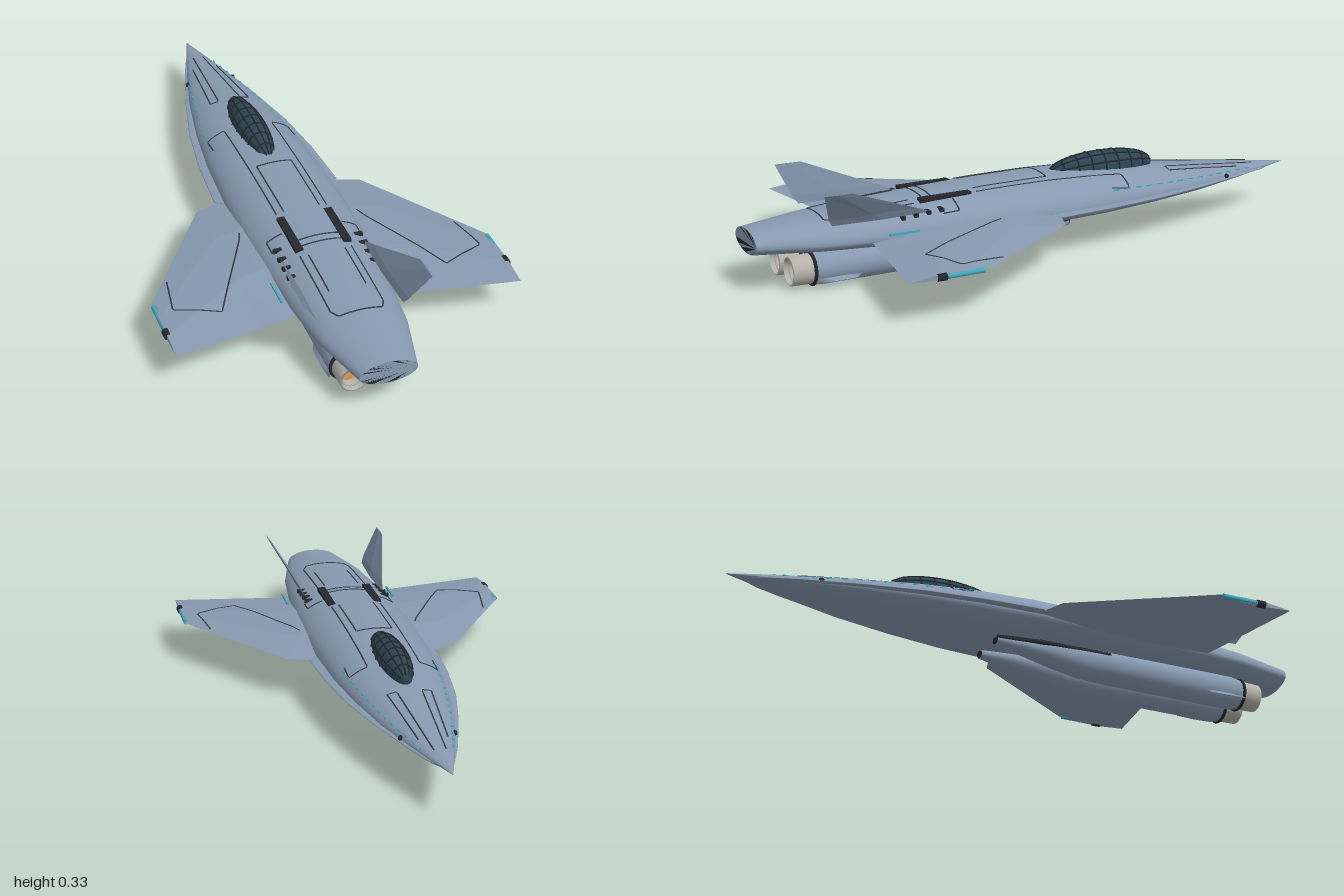
import * as THREE from 'three';

const V = (x, y, z) => new THREE.Vector3(x, y, z);
const mat = (color, extra = {}) => new THREE.MeshStandardMaterial({ color, ...extra });
const lerp = THREE.MathUtils.lerp;

// Interpolate a table of rows [z, a, b, c...] at z
function sample(rows, z) {
  let i = 0;
  while (i < rows.length - 2 && z > rows[i + 1][0]) i++;
  const t = THREE.MathUtils.clamp((z - rows[i][0]) / (rows[i + 1][0] - rows[i][0]), 0, 1);
  return rows[i].map((v, k) => lerp(v, rows[i + 1][k], t));
}

// Skin a row of closed rings (anticlockwise seen from the last ring), with end caps
function loft(rings) {
  const n = rings[0].length, pos = [], idx = [];
  rings.forEach(r => r.forEach(p => pos.push(p.x, p.y, p.z)));
  for (let i = 0; i < rings.length - 1; i++) for (let j = 0; j < n; j++) {
    const a = i * n + j, b = i * n + (j + 1) % n;
    idx.push(a, b, a + n, b, b + n, a + n);
  }
  const cap = (ring, flip) => {
    const o = pos.length / 3;
    ring.forEach(p => pos.push(p.x, p.y, p.z));
    for (let j = 1; j < n - 1; j++) idx.push(o, o + (flip ? j + 1 : j), o + (flip ? j : j + 1));
  };
  cap(rings[0], true);
  cap(rings[rings.length - 1], false);
  const g = new THREE.BufferGeometry();
  g.setAttribute('position', new THREE.Float32BufferAttribute(pos, 3));
  g.setIndex(idx);
  g.computeVertexNormals();
  return g;
}

// Cross-section with separate heights above and below its widest line
const oval = (z, cx, cy, w, up, down, n = 40) => Array.from({ length: n }, (_, i) => {
  const a = i / n * Math.PI * 2, s = Math.sin(a);
  return V(cx + w * Math.cos(a), cy + s * (s > 0 ? up : down), z);
});

function mirrored(geo) {
  const g = geo.clone();
  g.scale(-1, 1, 1);
  const ix = g.index.array;
  for (let i = 0; i < ix.length; i += 3) [ix[i], ix[i + 1]] = [ix[i + 1], ix[i]];
  g.computeVertexNormals();
  return g;
}

// z, half width, top, bottom, height of widest line
const BODY = [
  [-1, 0.001, 0.149, 0.147, 0.148], [-0.9, 0.032, 0.162, 0.136, 0.147], [-0.8, 0.062, 0.173, 0.124, 0.145],
  [-0.6, 0.115, 0.196, 0.106, 0.143], [-0.4, 0.152, 0.219, 0.096, 0.141], [-0.2, 0.176, 0.236, 0.088, 0.14],
  [0, 0.186, 0.244, 0.085, 0.14], [0.2, 0.19, 0.243, 0.086, 0.14], [0.4, 0.183, 0.237, 0.09, 0.141],
  [0.6, 0.166, 0.228, 0.096, 0.143], [0.8, 0.143, 0.214, 0.105, 0.147], [1, 0.092, 0.195, 0.116, 0.154]];

function bodyTop(x, z) {
  const [, w, top, , c] = sample(BODY, z);
  return c + (top - c) * Math.sqrt(Math.max(0, 1 - (x / w) ** 2));
}

// x, leading edge z, trailing edge z, top y, bottom y
const WING = [[0.14, -0.02, 0.64, 0.168, 0.122], [0.2, 0, 0.652, 0.166, 0.125],
  [0.285, 0.03, 0.665, 0.162, 0.127], [0.56, 0.45, 0.71, 0.149, 0.132]];

function wingTop(x, z) {
  const [, le, te, top] = sample(WING, x), t = (z - le) / (te - le);
  return t < 0.3 ? lerp(0.141, top, t / 0.3) : t < 0.65 ? top : lerp(top, 0.138, (t - 0.65) / 0.35);
}

export function createModel() {
  const root = new THREE.Group();
  root.name = 'jetAircraft';
  const skin = mat(0x8799b0), dark = mat(0x24282e), line = mat(0x333b45), glass = mat(0x2b4552),
    steel = mat(0xb5b2aa), glow = mat(0xe09a58), teal = mat(0x3fa9b8);
  const add = (name, geo, m) => {
    const mesh = new THREE.Mesh(geo, m);
    mesh.name = name;
    root.add(mesh);
    return mesh;
  };
  const pair = (name, geo, m) => {
    add(name + 'Left', geo, m);
    add(name + 'Right', mirrored(geo), m);
  };
  const box = (w, h, d, x, y, z) => new THREE.BoxGeometry(w, h, d).translate(x, y, z);
  // Thin seam draped over a surface through [x, z] corners
  const seam = (pts, height, r = 0.0025) => {
    const path = new THREE.CurvePath();
    const p = [];
    for (let i = 0; i < pts.length - 1; i++) for (let k = 0; k < 8; k++) {
      const x = lerp(pts[i][0], pts[i + 1][0], k / 8), z = lerp(pts[i][1], pts[i + 1][1], k / 8);
      p.push(V(x, height(x, z), z));
    }
    const [x, z] = pts[pts.length - 1];
    p.push(V(x, height(x, z), z));
    for (let i = 0; i < p.length - 1; i++) path.add(new THREE.LineCurve3(p[i], p[i + 1]));
    return new THREE.TubeGeometry(path, p.length * 2, r, 5);
  };

  // Fuselage, dark tail face and nose strakes
  const zs = Array.from({ length: 51 }, (_, i) => -1 + i * 0.04);
  add('fuselage', loft(zs.map(z => {
    const [, w, t, b, c] = sample(BODY, z);
    return oval(z, 0, c, w, t - c, c - b);
  })), skin);
  add('tailFace', loft([0.999, 1.0].map(z => oval(z, 0, 0.154, 0.09, 0.039, 0.036))), dark);
  add('strake', loft([[-0.92, 0.02], [-0.89, 0.038], [-0.8, 0.07], [-0.6, 0.128], [-0.4, 0.175], [-0.2, 0.202],
    [0, 0.215], [0.02, 0.19]].map(([z, w]) => oval(z, 0, 0.143, w, 0.008, 0.008))), skin);

  // Wings with thin edges, tip rails and lights
  const wing = loft(WING.map(([x, le, te, t, b]) => {
    const at = k => lerp(le, te, k);
    return [V(x, 0.141, le), V(x, t, at(0.3)), V(x, t, at(0.65)), V(x, 0.138, te), V(x, b, at(0.65)), V(x, b, at(0.3))];
  }));
  pair('wing', wing, mat(0x8799b0, { flatShading: true }));
  pair('wingPanelSeam', seam([[0.2, 0.22], [0.215, 0.26], [0.37, 0.565], [0.51, 0.51], [0.485, 0.36]], wingTop), line);
  pair('wingTipRail', new THREE.CylinderGeometry(0.008, 0.008, 0.14, 10).rotateX(Math.PI / 2).translate(0.557, 0.14, 0.53), teal);
  pair('wingTipCap', new THREE.CylinderGeometry(0.012, 0.012, 0.03, 10).rotateX(Math.PI / 2).translate(0.557, 0.14, 0.6), dark);

  // Canted tail fins
  const finRing = (x, y, le, te, t) =>
    [V(x + t, y, (le + te) / 2), V(x, y, le), V(x - t, y, (le + te) / 2), V(x, y + 0.001, te)];
  const fin = loft([finRing(0.138, 0.205, 0.43, 0.77, 0.006), finRing(0.148, 0.228, 0.49, 0.785, 0.006),
    finRing(0.206, 0.323, 0.73, 0.82, 0.003)]);
  pair('tailFin', fin, mat(0x75869b, { flatShading: true }));

  // Engine nacelles: z, centre y, half width, half height
  const NAC = [[-0.1, 0.075, 0.018, 0.014], [0, 0.07, 0.034, 0.026], [0.1, 0.064, 0.046, 0.042],
    [0.2, 0.058, 0.052, 0.053], [0.3, 0.056, 0.055, 0.056], [0.78, 0.056, 0.055, 0.056], [0.82, 0.055, 0.05, 0.05]];
  pair('nacelle', loft(NAC.map(([z, y, w, h]) => oval(z, 0.06, y, w, h, h, 28))), skin);
  pair('intakeFace', loft([-0.104, -0.1].map(z => oval(z, 0.06, 0.075, 0.015, 0.011, 0.011, 20))), dark);
  pair('intakeFairing', loft([[-0.1, 0.012], [0.05, 0.04], [0.3, 0.045]].map(([z, w]) =>
    oval(z, 0.065, 0.082, w, 0.02, 0.012, 20))), dark);
  pair('nacelleBand', new THREE.TorusGeometry(0.051, 0.006, 8, 28).translate(0.06, 0.055, 0.815), dark);
  const nozzle = new THREE.LatheGeometry([[0.049, 0.8], [0.047, 0.885], [0.041, 0.888], [0.035, 0.84]]
    .map(([r, z]) => new THREE.Vector2(r, z)), 28).rotateX(Math.PI / 2).translate(0.06, 0.055, 0);
  pair('nozzle', nozzle, mat(0xb5b2aa, { side: THREE.DoubleSide }));
  pair('nozzleRing', new THREE.TorusGeometry(0.037, 0.003, 6, 28).translate(0.06, 0.055, 0.87), steel);
  pair('exhaustGlow', new THREE.CircleGeometry(0.036, 28).translate(0.06, 0.055, 0.845), glow);

  // Small ventral fins under the nacelles
  pair('ventralFin', loft([finRing(0.1, 0.02, 0.68, 0.82, 0.003), finRing(0.108, 0.04, 0.64, 0.8, 0.004)]
    .map(r => r.map(p => V(p.x + (p.y < 0.03 ? 0.017 : -0.008), p.y, p.z)))), skin);

  // Canopy with hoops and lengthwise frames
  const CY = 0.222, CZ = -0.258, canopyPoint = (a, z) => {
    const k = Math.sqrt(Math.max(0, 1 - ((z - CZ) / 0.2) ** 2));
    return V(0.051 * k * Math.cos(a), CY + 0.061 * k * Math.sin(a), z);
  };
  add('canopy', new THREE.SphereGeometry(1, 32, 20).scale(0.05, 0.06, 0.2).translate(0, CY, CZ), glass);
  const tube = pts => new THREE.TubeGeometry(new THREE.CatmullRomCurve3(pts), 24, 0.0028, 5);
  const steps = Array.from({ length: 13 }, (_, i) => i / 12);
  for (let i = 0; i < 7; i++)
    add('canopyHoop', tube(steps.map(t => canopyPoint(t * Math.PI, CZ - 0.15 + i * 0.05))), dark);
  for (const a of [0.5, 1.05, Math.PI / 2, Math.PI - 1.05, Math.PI - 0.5])
    add('canopyFrame', tube(steps.map(t => canopyPoint(a, CZ - 0.19 + t * 0.38))), dark);

  // Panel seams on the upper body
  const bodySeams = [
    [[0.018, -0.86], [0.04, -0.49], [0.07, -0.49], [0.045, -0.78]],
    [[0.085, 0.25], [0.085, -0.29], [0.145, -0.29], [0.145, -0.22]],
    [[0.06, -0.02], [0.06, 0.25]],
    [[0, 0.77], [0.07, 0.77], [0.085, 0.74], [0.085, 0.47]],
    [[0, 0.4], [0.07, 0.4]], [[0, 0.43], [0.07, 0.43]], [[0.06, 0.48], [0.06, 0.66]],
    [[0.1, 0.34], [0.15, 0.34], [0.15, 0.4]]];
  bodySeams.forEach(p => pair('bodySeam', seam(p, bodyTop), line));
  add('dorsalSeam', seam([[-0.06, -0.02], [0.06, -0.02]], bodyTop), line);

  // Dorsal vents, louvres, nose sensors and side light strips
  pair('dorsalVent', box(0.026, 0.014, 0.18, 0.08, bodyTop(0.08, 0.36), 0.36), dark);
  for (let i = 0; i < 4; i++) {
    const z = 0.4 + i * 0.044;
    pair('louvre', box(0.028, 0.012, 0.013, 0.135, bodyTop(0.135, z) + 0.001, z).toNonIndexed().setIndex([...Array(36).keys()]), dark);
  }
  pair('noseSensor', new THREE.SphereGeometry(0.009, 12, 8).translate(0.083, 0.15, -0.715), dark);
  for (let i = 0; i < 14; i++) {
    const z = -0.82 + i * 0.045, x = sample(BODY, z)[1] * 0.88;
    pair('lightStrip', box(0.004, 0.004, 0.022, x, bodyTop(x, z), z), teal);
  }
  pair('wingRootLight', box(0.006, 0.006, 0.1, 0.19, 0.166, 0.55), teal);
  return root;
}
